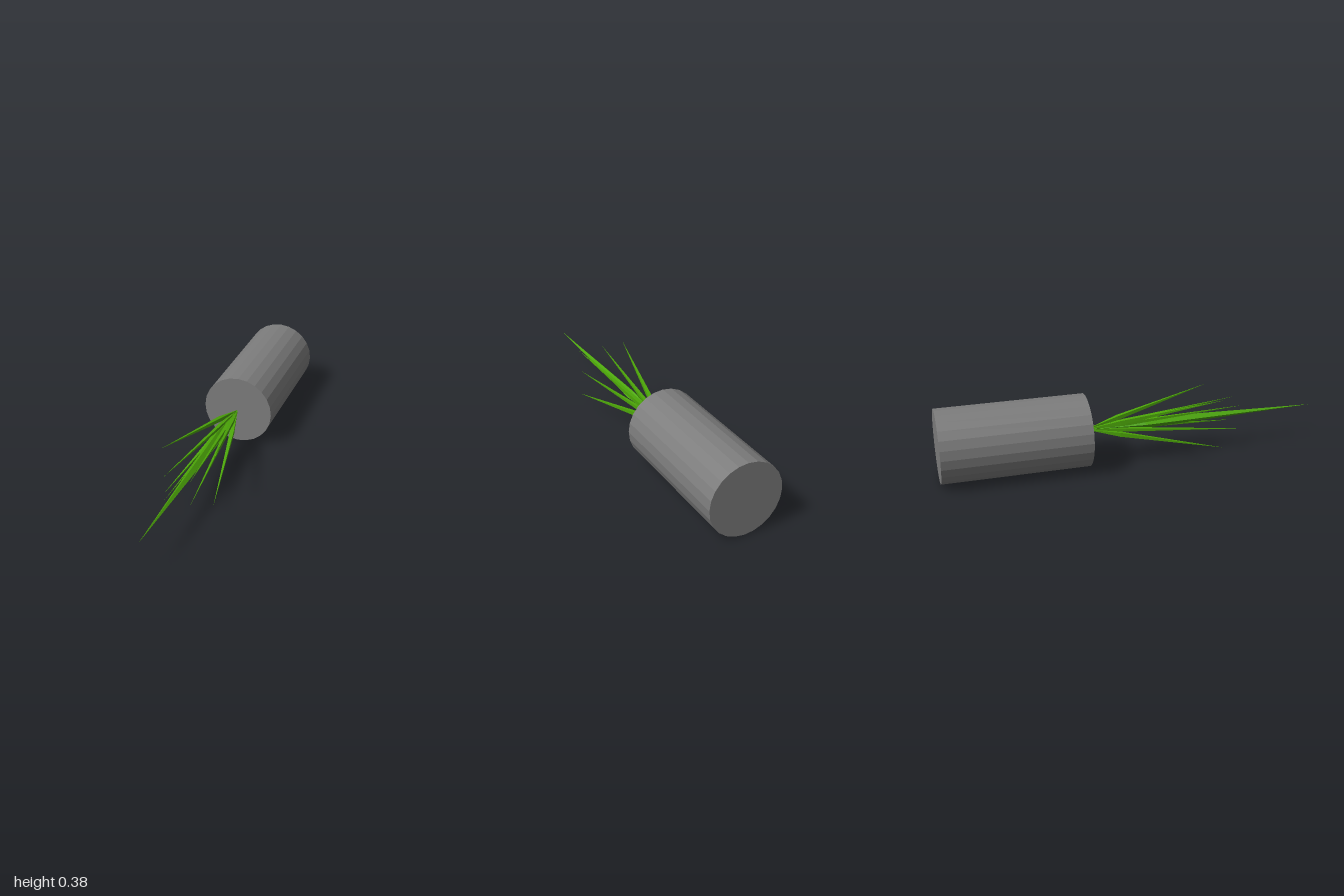
import * as THREE from 'three';

export function createModel() {
  const model = new THREE.Group();
  const grey = new THREE.MeshStandardMaterial({ color: 0x7c7c7c, flatShading: true });
  const green = new THREE.MeshStandardMaterial({ color: 0x4ca608, flatShading: true });
  const radius = 0.1875;
  const start = new THREE.Vector3(0, radius, -0.25);

  // 24-sided barrel lying along z
  const barrel = new THREE.Mesh(new THREE.CylinderGeometry(radius, radius, 0.75, 24), grey);
  barrel.name = 'barrel';
  barrel.rotation.x = Math.PI / 2;
  barrel.position.set(0, radius, -0.625);
  model.add(barrel);

  // Four-sided spike, pointed at both ends and widest a quarter of the way along
  function addSpike(name, length, halfWidth, tilt, roll) {
    const widest = length * 0.25;
    const back = new THREE.ConeGeometry(halfWidth, widest, 4, 1, true);
    back.rotateX(-Math.PI / 2).translate(0, 0, widest / 2);
    const front = new THREE.ConeGeometry(halfWidth, length - widest, 4, 1, true);
    front.rotateX(Math.PI / 2).translate(0, 0, (length + widest) / 2);
    const spike = new THREE.Group();
    spike.name = name;
    spike.add(new THREE.Mesh(back, green), new THREE.Mesh(front, green));
    spike.position.copy(start);
    // tilt away from the axis, then roll around it
    spike.rotation.set(0, tilt, roll, 'ZYX');
    model.add(spike);
  }

  addSpike('centreSpike', 1.25, 0.03, 0, 0);

  // Inner and outer rings of spikes on the diagonals
  const rings = [
    { name: 'innerSpike', spread: 0.066 * Math.SQRT2, reach: 0.83, halfWidth: 0.013 },
    { name: 'outerSpike', spread: 0.132 * Math.SQRT2, reach: 0.7, halfWidth: 0.015 },
  ];
  for (const { name, spread, reach, halfWidth } of rings) {
    for (let i = 0; i < 4; i++) {
      addSpike(name + (i + 1), Math.hypot(spread, reach), halfWidth,
        Math.atan2(spread, reach), Math.PI / 4 + i * Math.PI / 2);
    }
  }
  return model;
}
